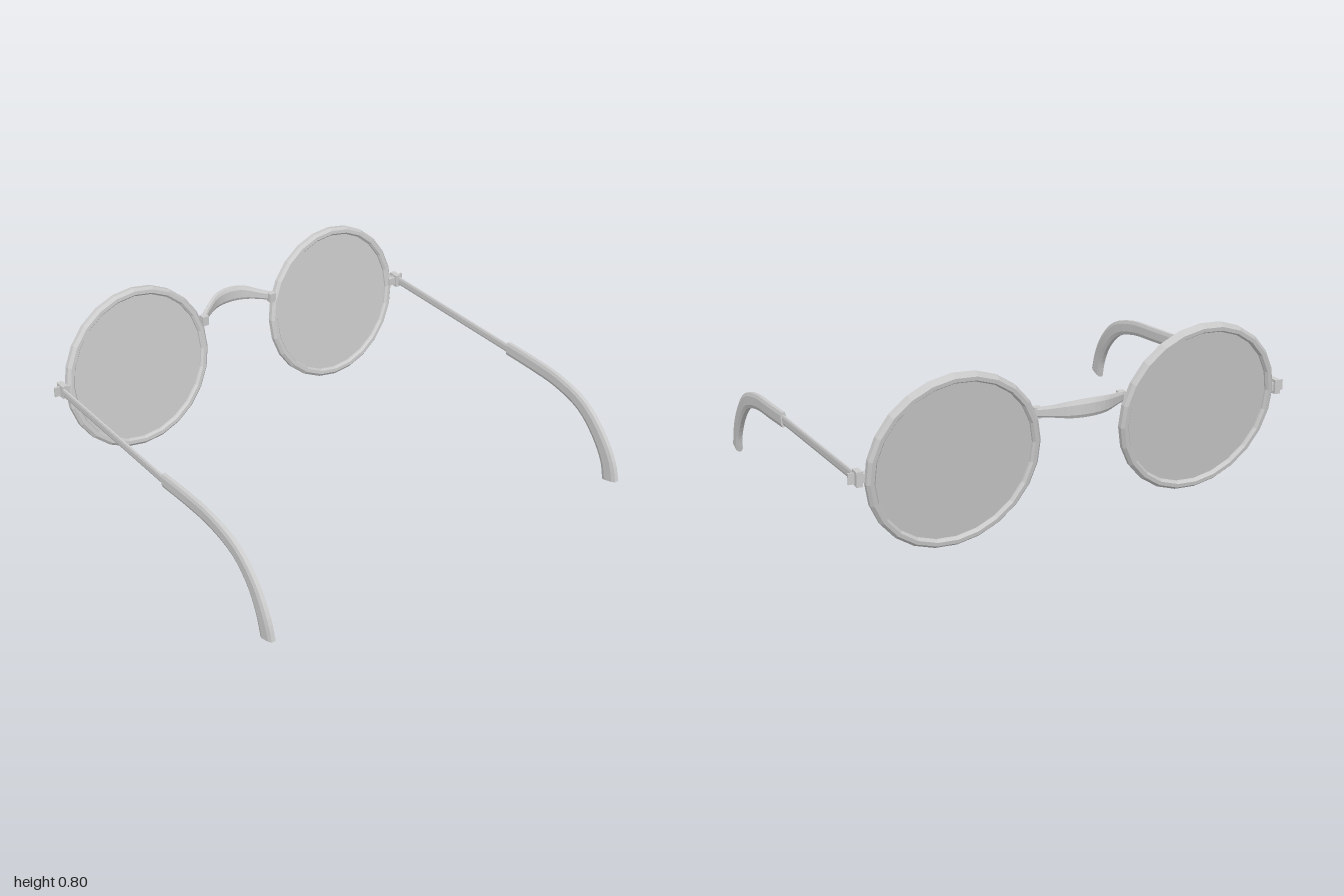
import * as THREE from 'three';

const V = (x, y, z) => new THREE.Vector3(x, y, z);
const material = new THREE.MeshStandardMaterial({ color: 0xcccccc, flatShading: true });

function add(parent, name, geometry, position) {
  const mesh = new THREE.Mesh(geometry, material);
  mesh.name = name;
  if (position) mesh.position.copy(position);
  parent.add(mesh);
  return mesh;
}

// Chamfered rectangular section swept along a path.
// axis: fixed direction of the section; sizes: [size along axis, size across] per path point
const SECTION = [[1, 0.55], [0.6, 1], [-0.6, 1], [-1, 0.55], [-1, -0.55], [-0.6, -1], [0.6, -1], [1, -0.55]];
function sweep(points, sizes, axis, steps) {
  const path = new THREE.CatmullRomCurve3(points);
  const size = new THREE.CatmullRomCurve3(sizes.map(([a, b], i) => V(a, b, i)));
  const n = SECTION.length, pos = [], index = [];
  for (let i = 0; i <= steps; i++) {
    const p = path.getPoint(i / steps), s = size.getPoint(i / steps);
    const t = path.getTangent(i / steps);
    const v = t.clone().cross(axis).normalize();
    const u = v.clone().cross(t).normalize();
    for (const [a, b] of SECTION) {
      const q = p.clone().addScaledVector(u, a * s.x / 2).addScaledVector(v, b * s.y / 2);
      pos.push(q.x, q.y, q.z);
    }
  }
  for (let i = 0; i < steps; i++) {
    for (let j = 0; j < n; j++) {
      const a = i * n + j, b = i * n + (j + 1) % n;
      index.push(a, b, a + n, b, b + n, a + n);
    }
  }
  // End caps
  const last = steps * n;
  for (let j = 1; j < n - 1; j++) {
    index.push(0, j + 1, j, last, last + j, last + j + 1);
  }
  const g = new THREE.BufferGeometry();
  g.setAttribute('position', new THREE.Float32BufferAttribute(pos, 3));
  g.setIndex(index);
  g.computeVertexNormals();
  return g;
}

// Round rim with its lens, tilted and slightly turned
function createEyepiece(name, centre) {
  const group = new THREE.Group();
  group.name = name;
  const profile = [
    [0.341, -0.022], [0.357, -0.022], [0.369, -0.01], [0.369, 0.01],
    [0.357, 0.022], [0.341, 0.022], [0.333, 0.012], [0.333, -0.012], [0.341, -0.022],
  ].map(([r, y]) => new THREE.Vector2(r, y));
  add(group, 'rim', new THREE.LatheGeometry(profile, 24));
  add(group, 'lens', new THREE.CylinderGeometry(0.337, 0.337, 0.008, 24));
  group.position.copy(centre);
  group.quaternion.setFromUnitVectors(V(0, 1, 0), V(1, 0.14, -0.08).normalize());
  return group;
}

// Hinge, thin arm and curved ear sleeve; z values run hinge, sleeve start, bend, tip
function createTemple(name, dx, dy, [zHinge, zSleeve, zBend, zTip]) {
  const group = new THREE.Group();
  group.name = name;
  const side = Math.sign(zHinge);
  const axis = V(0, 0, 1);

  const hinge = V(-0.68 + dx, 0.46 + dy, zHinge - side * 0.006);
  add(group, 'hingeBlock', new THREE.BoxGeometry(0.05, 0.06, 0.025), hinge);
  add(group, 'hingeTab', new THREE.BoxGeometry(0.03, 0.035, 0.05), hinge.clone().add(V(0, 0, -side * 0.02)));
  add(group, 'hingePin', new THREE.BoxGeometry(0.008, 0.045, 0.06), hinge.clone().add(V(0, 0, side * 0.008)));

  const arm = [V(-0.68 + dx, 0.46 + dy, zHinge), V(0.14 + dx, 0.437 + dy, zSleeve)];
  add(group, 'arm', sweep(arm, [[0.012, 0.038], [0.014, 0.038]], axis, 1));

  const sleeve = [
    [0.12, 0.438, zSleeve], [0.28, 0.431, (zSleeve + zBend) / 2], [0.444, 0.419, zBend + (zSleeve - zBend) * 0.2],
    [0.606, 0.373, zBend], [0.72, 0.282, zBend], [0.794, 0.178, zTip], [0.82, 0.092, zTip],
  ].map(([x, y, z]) => V(x + dx, y + dy, z));
  const sizes = [[0.024, 0.064], [0.026, 0.065], [0.027, 0.066], [0.03, 0.07], [0.03, 0.075], [0.03, 0.081], [0.03, 0.084]];
  add(group, 'earSleeve', sweep(sleeve, sizes, axis, 24));
  return group;
}

export function createModel() {
  const model = new THREE.Group();
  model.name = 'glasses';

  model.add(createEyepiece('leftEyepiece', V(-0.708, 0.428, 0.566)));
  model.add(createEyepiece('rightEyepiece', V(-0.77, 0.378, -0.523)));

  // Arched nose bridge, fuller in the middle
  const bridge = [
    V(-0.735, 0.53, 0.21), V(-0.785, 0.538, 0.15), V(-0.835, 0.545, 0.075), V(-0.85, 0.546, 0),
    V(-0.838, 0.541, -0.07), V(-0.8, 0.531, -0.13), V(-0.752, 0.52, -0.19),
  ];
  const bridgeSizes = [[0.036, 0.022], [0.046, 0.024], [0.064, 0.028], [0.07, 0.03], [0.064, 0.028], [0.046, 0.024], [0.036, 0.022]];
  add(model, 'bridge', sweep(bridge, bridgeSizes, V(0, 1, 0), 20));
  for (const [x, y, z] of [[-0.738, 0.53, 0.2], [-0.757, 0.52, -0.175]]) {
    add(model, 'bridgeMount', new THREE.BoxGeometry(0.03, 0.045, 0.03), V(x, y, z));
  }

  model.add(createTemple('leftTemple', 0, 0, [0.957, 0.92, 0.888, 0.894]));
  model.add(createTemple('rightTemple', -0.1, -0.087, [-0.92, -0.96, -0.982, -0.982]));
  return model;
}
